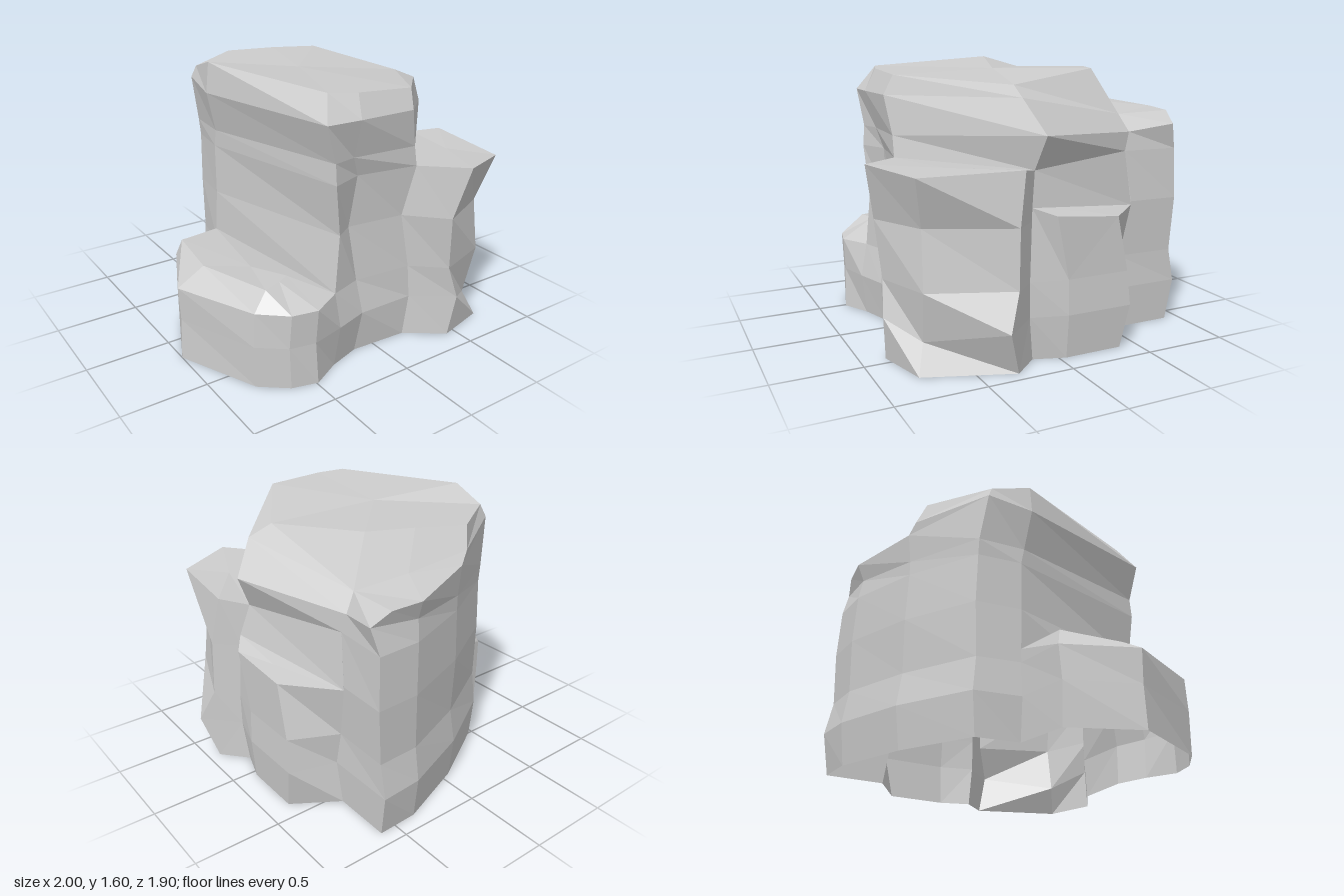
import * as THREE from 'three';

const material = new THREE.MeshStandardMaterial({
  color: 0xcccccc, flatShading: true, side: THREE.DoubleSide,
});
const LEVELS = [0, 0.25, 0.45, 0.78, 1.08];

// An upright edge of the rock: x, z pairs from the ground up; topY replaces the last height
function edge(xz, topY) {
  const n = xz.length / 2;
  return Array.from({ length: n }, (_, i) => [
    xz[2 * i], i === n - 1 && topY !== undefined ? topY : LEVELS[i], xz[2 * i + 1],
  ]);
}

const tops = (lines) => lines.map((l) => l[l.length - 1]);
const dist = (p, q) => Math.hypot(p[0] - q[0], p[1] - q[1], p[2] - q[2]);

// Faces between neighbouring edges, running +x, +z, -x, -z around the rock;
// the diagonal is swapped only where it is clearly too long
function wall(lines, closed = false) {
  const out = [];
  for (let i = 0; i < lines.length - (closed ? 0 : 1); i++) {
    const a = lines[i], b = lines[(i + 1) % lines.length];
    for (let k = 0; k < a.length - 1; k++) {
      const [p, q, r, s] = [a[k], a[k + 1], b[k + 1], b[k]];
      if (dist(q, s) < 0.8 * dist(p, r)) out.push(p, q, s, s, q, r);
      else out.push(p, q, r, p, r, s);
    }
  }
  return out;
}

// Fan that closes a ring of points
function cap(ring) {
  const c = [0, 1, 2].map((j) => ring.reduce((s, p) => s + p[j], 0) / ring.length);
  return ring.flatMap((p, i) => [c, ring[(i + 1) % ring.length], p]);
}

function addPart(group, name, triangles) {
  const g = new THREE.BufferGeometry();
  g.setAttribute('position', new THREE.Float32BufferAttribute(triangles.flat(), 3));
  g.computeVertexNormals();
  const mesh = new THREE.Mesh(g, material);
  mesh.name = name;
  group.add(mesh);
}

export function createModel() {
  const group = new THREE.Group();
  group.name = 'rockFormation';

  // Edges shared by two neighbouring parts
  const right = edge([0.8, 0.14, 0.82, 0.17, 0.82, 0.17, 0.8, 0.15, 0.75, 0.11], 1.04);
  const frontRight = edge([0.22, 0.7, 0.25, 0.71, 0.24, 0.7, 0.19, 0.68, 0.25, 0.72]);
  const frontLeft = edge([-0.13, 0.68, -0.1, 0.71, -0.12, 0.67, -0.16, 0.64, -0.12, 0.66]);
  const leftFront = edge([-0.32, 0.74, -0.3, 0.77, -0.31, 0.73, -0.27, 0.71, -0.31, 0.73]);
  const left = edge([-0.51, -0.25, -0.53, -0.25, -0.52, -0.25, -0.51, -0.24, -0.51, -0.24]);
  const backRight = edge([0.6, -0.56, 0.61, -0.52, 0.6, -0.55, 0.62, -0.61, 0.6, -0.57]);

  // Back wall of the column
  const back = [
    left,
    edge([-0.47, -0.5, -0.48, -0.52, -0.47, -0.5, -0.47, -0.51, -0.47, -0.5]),
    edge([-0.06, -0.74, -0.06, -0.77, -0.05, -0.74, -0.06, -0.75, -0.06, -0.74]),
    edge([0.36, -0.9, 0.36, -0.93, 0.36, -0.9, 0.37, -0.91, 0.36, -0.9]),
    edge([0.6, -0.91, 0.61, -0.95, 0.61, -0.91, 0.63, -0.92, 0.62, -0.91]),
    backRight,
  ];
  addPart(group, 'backWall', wall(back));

  // Lower pillar at the rear right, with the column wall above it
  const rearPillar = [
    edge([0.6, -0.56, 0.61, -0.52, 0.6, -0.55, 0.62, -0.61], 0.76),
    edge([0.86, -0.39, 0.88, -0.44, 0.87, -0.42, 0.87, -0.35], 0.77),
    edge([0.86, -0.04, 0.88, -0.04, 0.87, -0.04, 0.88, 0.04], 0.81),
    edge([0.8, 0.14, 0.82, 0.17, 0.82, 0.17, 0.8, 0.15], 0.85),
  ];
  addPart(group, 'rearPillar', [...wall(rearPillar), ...cap(tops(rearPillar))]);
  addPart(group, 'columnRightWall', wall([
    [rearPillar[0][3], backRight[4]], [rearPillar[3][3], right[4]],
  ]));

  // Tall pillar at the front right
  const frontPillar = [
    right,
    edge([0.93, 0.29, 1.0, 0.37, 0.93, 0.29, 0.92, 0.28, 0.88, 0.23], 1.07),
    edge([0.75, 0.78, 0.68, 0.73, 0.75, 0.75, 0.71, 0.74, 0.8, 0.8], 1.06),
    edge([0.44, 0.86, 0.48, 0.88, 0.42, 0.86, 0.39, 0.89, 0.46, 0.95], 1.09),
    frontRight,
  ];
  frontPillar[2][1][1] = 0.16; // the chipped corner sits lower
  addPart(group, 'frontPillar', [...wall(frontPillar), ...cap(tops(frontPillar))]);

  // Front face of the column
  addPart(group, 'frontWall', wall([frontRight, frontLeft]));

  // Left face of the column, standing on the low boulder
  const leftFoot = [-0.52, 0.53, -0.25];
  addPart(group, 'leftWall', wall([
    frontLeft.slice(2), leftFront.slice(2), [leftFoot, left[3], left[4]],
  ]));

  // Low boulder: upright sides, bevel and top
  const boulder = [
    leftFront.slice(0, 3),
    edge([-0.49, 0.83, -0.5, 0.82, -0.49, 0.83]),
    edge([-0.64, 0.79, -0.65, 0.79, -0.64, 0.8]),
    edge([-0.79, 0.67, -0.8, 0.67, -0.79, 0.67]),
    edge([-1, 0.19, -0.99, 0.19, -1, 0.19]),
    edge([-0.82, -0.2, -0.83, -0.2, -0.82, -0.21]),
    left.slice(0, 3),
  ];
  const rim = [
    leftFront[2], [-0.52, 0.55, 0.56], [-0.59, 0.55, 0.6],
    [-0.7, 0.55, 0.64], [-0.84, 0.55, 0.2], [-0.79, 0.55, -0.18], leftFoot,
  ];
  addPart(group, 'lowBoulder', [
    ...wall([frontLeft.slice(0, 3), boulder[0]]),
    ...wall(boulder.map((l, i) => [...l, rim[i]])), ...cap(rim),
  ]);

  // Overhanging crown with a ledge at the back right corner
  const crown = [
    [right[4], [0.83, 1.23, 0.08], [0.7, 1.42, 0.16], [0.56, 1.48, 0.14]],
    [frontRight[4], [0.23, 1.2, 0.72], [0.18, 1.42, 0.75], [0.2, 1.53, 0.7]],
    [frontLeft[4], [-0.17, 1.2, 0.69], [-0.17, 1.42, 0.75], [-0.15, 1.55, 0.69]],
    [leftFront[4], [-0.31, 1.2, 0.72], [-0.38, 1.42, 0.74], [-0.31, 1.56, 0.64]],
    [left[4], [-0.51, 1.18, -0.22], [-0.57, 1.42, -0.2], [-0.55, 1.6, -0.2]],
    [back[1][4], [-0.48, 1.18, -0.5], [-0.53, 1.46, -0.47], [-0.51, 1.53, -0.44]],
    [back[2][4], [-0.06, 1.17, -0.74], [-0.06, 1.35, -0.76], [-0.11, 1.42, -0.74], [-0.15, 1.54, -0.69]],
    [back[3][4], [0.35, 1.2, -0.88], [0.36, 1.31, -0.92], [0.22, 1.34, -0.65], [0.12, 1.55, -0.58]],
    [back[4][4], [0.65, 1.23, -0.87], [0.54, 1.3, -0.9], [0.52, 1.29, -0.57], [0.37, 1.55, -0.47]],
    [backRight[4], [0.59, 1.19, -0.6], [0.52, 1.29, -0.57], [0.37, 1.55, -0.47]],
  ];
  // Edges without a ledge reach the top one step early
  for (const l of crown) {
    if (l.length === 4) l.push(l[3]);
  }
  addPart(group, 'crown', [...wall(crown, true), ...cap(tops(crown).slice(0, -1))]);

  return group;
}
